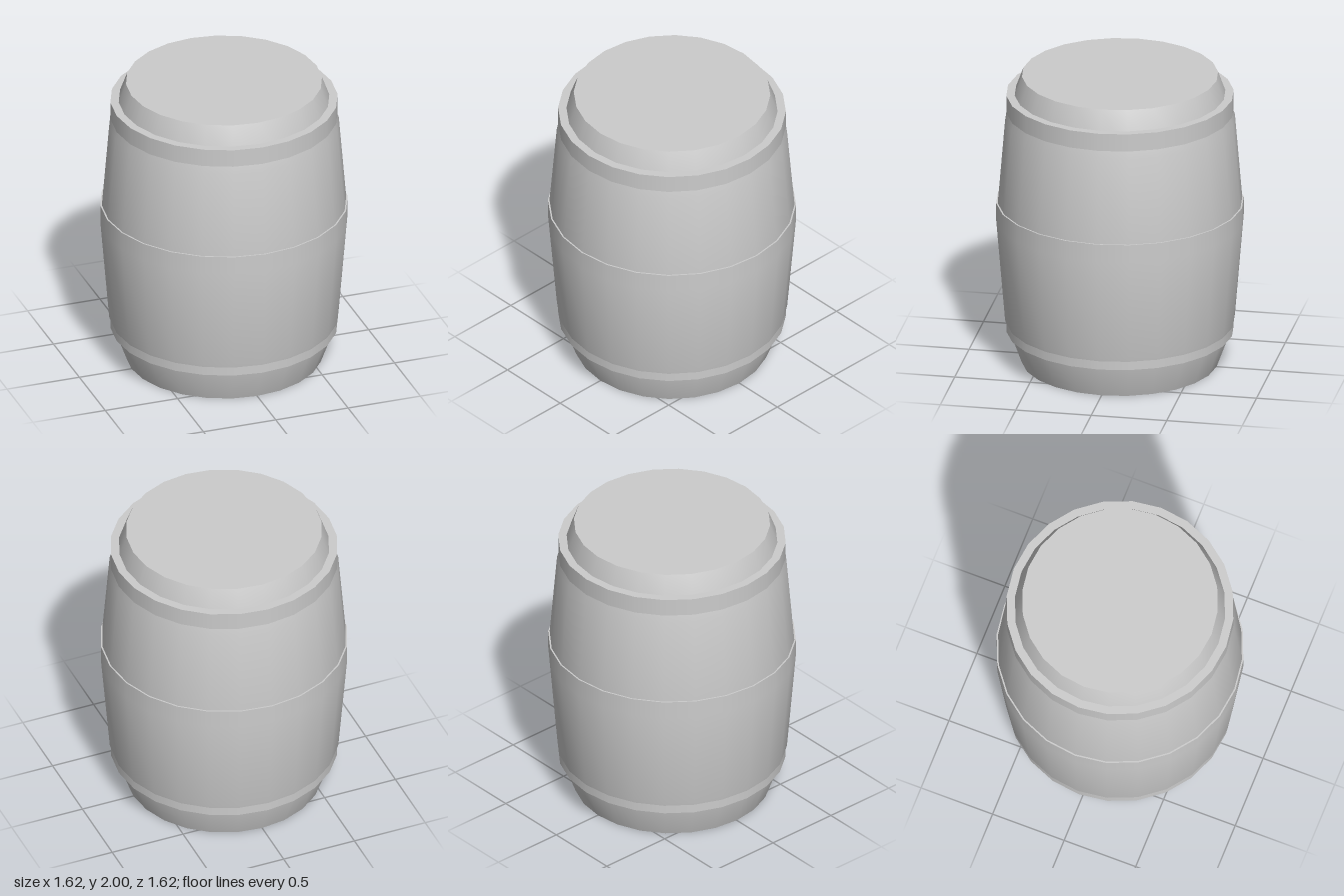
import * as THREE from 'three';

const SIDES = 24;

export function createModel() {
  const barrel = new THREE.Group();
  barrel.name = 'barrel';
  const grey = new THREE.MeshStandardMaterial({ color: 0xcccccc });
  grey.name = 'grey';

  const add = (name, geometry, y = 0) => {
    const mesh = new THREE.Mesh(geometry, grey);
    mesh.name = name;
    mesh.position.y = y;
    barrel.add(mesh);
    return mesh;
  };

  // Bulging staves, smooth all the way round
  const profile = [[0.64, 0], [0.75, 0.3], [0.808, 1], [0.75, 1.7], [0.64, 2]];
  add('staves', new THREE.LatheGeometry(profile.map(([r, y]) => new THREE.Vector2(r, y)), SIDES));

  // Flat ends
  const end = new THREE.CircleGeometry(0.64, SIDES);
  add('lid', end, 2).rotation.x = -Math.PI / 2;
  add('base', end, 0).rotation.x = Math.PI / 2;

  // Straight hoops, partly sunk into the staves
  for (const [name, radius, bottom] of [
    ['lowerHoop', 0.742, 0.22],
    ['middleHoop', 0.808, 1.0],
    ['upperHoop', 0.742, 1.75],
  ]) {
    add(name, new THREE.CylinderGeometry(radius, radius, 0.12, SIDES), bottom + 0.06);
  }

  return barrel;
}
